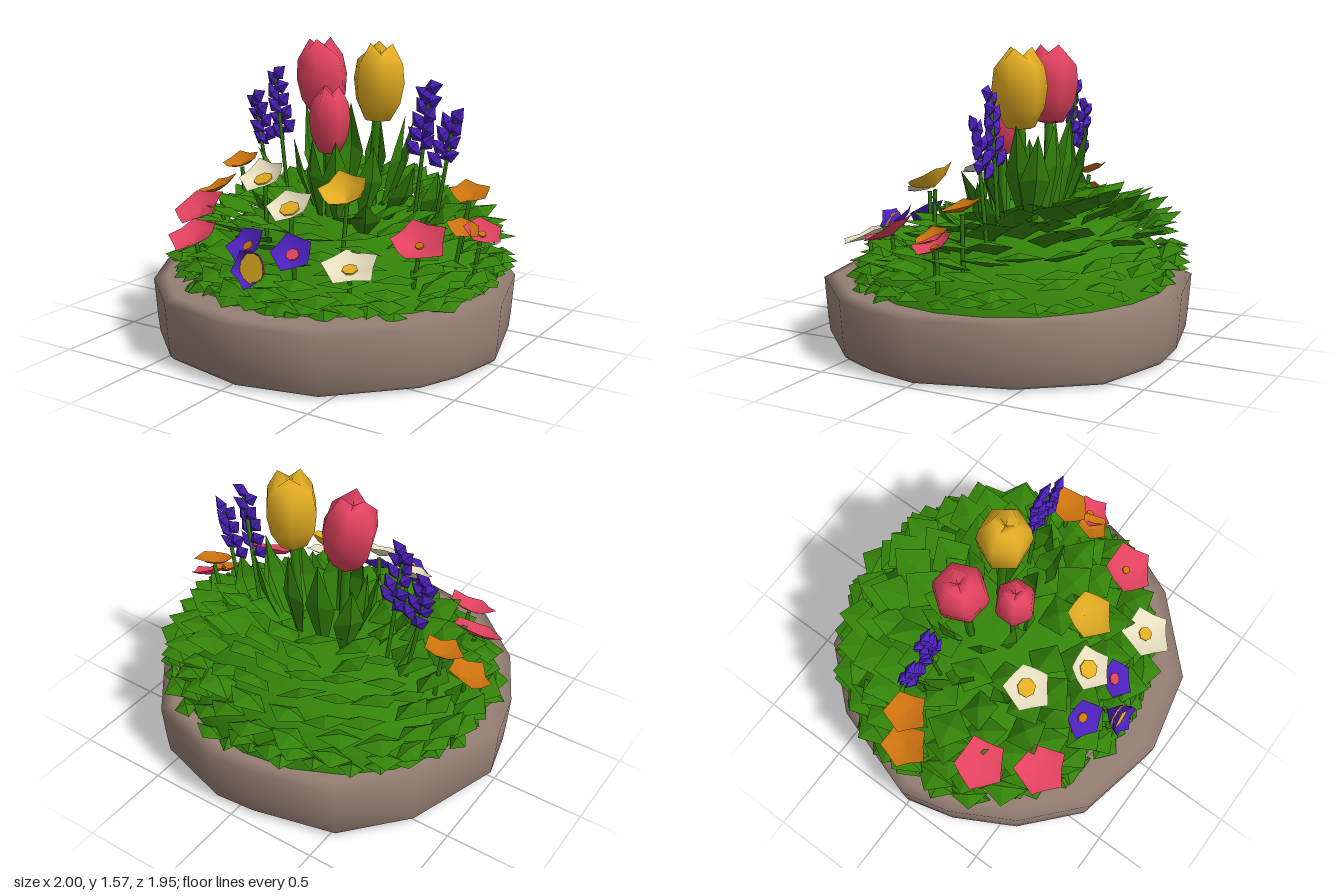
import * as THREE from 'three';
import { mergeGeometries } from 'three/addons/utils/BufferGeometryUtils.js';

let seed = 7;
const rnd = () => ((seed = (seed * 16807) % 2147483647) / 2147483647);
const vary = (v, d) => v + (rnd() - 0.5) * 2 * d;

const make = (name, color) => {
  const m = new THREE.MeshStandardMaterial({ color, side: THREE.DoubleSide });
  m.name = name;
  return m;
};

// skin between closed rings of equal length, listed from the lower/outer one
function loft(rings) {
  const n = rings[0].length, pos = rings.flat(2), idx = [];
  for (let k = 0; k < rings.length - 1; k++) {
    for (let i = 0; i < n; i++) {
      const a = k * n + i, b = k * n + ((i + 1) % n);
      idx.push(a, b, a + n, b, b + n, a + n);
    }
  }
  const g = new THREE.BufferGeometry();
  g.setAttribute('position', new THREE.Float32BufferAttribute(pos, 3));
  g.setIndex(idx);
  g.computeVertexNormals();
  return g;
}

const ring = (n, f) => Array.from({ length: n }, (_, i) => {
  const a = (i / n) * Math.PI * 2, [r, y] = f(i);
  return [Math.sin(a) * r, y, Math.cos(a) * r];
});

// folded diamond leaf: base, two shoulders, ridge and tip
function leaf(L, W, fold, p, yaw, pitch, roll = 0, shoulder = 0.48) {
  const B = [0, 0, 0], M = [0, fold, L * (shoulder + 0.05)], T = [0, -fold * 0.5, L];
  const R = [W / 2, 0, L * shoulder], S = [-W / 2, 0, L * shoulder];
  const g = new THREE.BufferGeometry();
  g.setAttribute('position', new THREE.Float32BufferAttribute(
    [B, M, R, B, S, M, M, T, R, S, T, M].flat(), 3));
  g.computeVertexNormals();
  const o = new THREE.Object3D();
  o.rotation.set(-pitch, yaw, roll, 'YXZ');
  o.position.set(...p);
  o.updateMatrix();
  return g.applyMatrix4(o.matrix);
}

// height of the planted mound
const CZ = -0.08, RX = 0.87, RZ = 0.8;
const height = (x, z) => {
  const s = Math.min(1, Math.hypot(x / RX, (z - CZ) / RZ));
  return 0.33 + (0.34 - 0.2 * z) * Math.pow(1 - s * s, 0.6);
};

export function createModel() {
  seed = 7;
  const group = new THREE.Group();
  const stone = make('stone', 0x957f73);
  const green = make('leaf green', 0x338209);
  const pink = make('pink', 0xe2425f);
  const yellow = make('yellow', 0xe2ac22);
  const purple = make('purple', 0x4c20bc);
  const orange = make('orange', 0xcc720f);
  const cream = make('cream', 0xe8e0c0);

  const add = (name, geo, mat, parent = group) => {
    const m = new THREE.Mesh(geo, mat);
    m.name = name;
    parent.add(m);
    return m;
  };
  const stem = (a, b, r) => {
    const A = new THREE.Vector3(...a), B = new THREE.Vector3(...b);
    const d = B.clone().sub(A);
    const m = add('stem', new THREE.CylinderGeometry(r, r, d.length(), 5), green);
    m.position.copy(A).add(B).multiplyScalar(0.5);
    m.quaternion.setFromUnitVectors(new THREE.Vector3(0, 1, 0), d.normalize());
  };

  // rough round stone planter
  const outline = [[0.03, 0.97], [0.47, 0.87], [0.84, 0.5], [0.94, 0.28], [1, 0], [0.85, -0.5],
    [0.57, -0.85], [0.13, -0.98], [-0.1, -0.96], [-0.55, -0.85], [-0.83, -0.53], [-1, 0],
    [-0.93, 0.27], [-0.75, 0.6], [-0.45, 0.87]];
  const slab = (s, y) => outline.map(([x, z]) => [x * s, y, z * s]);
  add('stoneBase', loft([slab(0, 0), slab(0.95, 0.008)]), stone);
  add('stonePlanter', loft([slab(0.95, 0.008), slab(0.975, 0.03), slab(0.985, 0.12),
    slab(1, 0.325), slab(0.93, 0.34), slab(0.78, 0.34)]), stone);

  // green mound under the leaves
  add('mound', loft([1, 0.95, 0.85, 0.7, 0.5, 0.25, 0].map((s) => ring(20, () => [s, 0]).map(([x, , z]) => {
    const X = x * RX, Z = z * RZ + CZ;
    return [X, height(X, Z), Z];
  }))), green);

  // rings of broad leaves covering the mound: radius, count, pitch, length
  const leaves = [];
  [[0.25, 9, 0.4, 0.26], [0.42, 14, 0.45, 0.27], [0.56, 18, 0.48, 0.27], [0.69, 21, 0.45, 0.25],
    [0.79, 24, 0.35, 0.23], [0.87, 26, 0.22, 0.19], [0.93, 30, 0.1, 0.15], [0.97, 34, 0.15, 0.1]]
    .forEach(([s, n, pitch, len], k) => {
      for (let i = 0; i < n; i++) {
        const a = ((i + (k % 2) / 2) / n) * Math.PI * 2 + vary(0, 0.06), q = vary(s, 0.02);
        const x = Math.sin(a) * q * RX, z = Math.cos(a) * q * RZ + CZ;
        const rise = z > 0 ? -0.45 * z : -0.9 * z * (0.9 - s);
        leaves.push(leaf(vary(len, 0.025), vary(Math.min(0.24, len + 0.05), 0.03), 0.03,
          [x, height(x, z) - 0.005, z], a + vary(0, 0.25), vary(pitch + rise, 0.1), vary(0, 0.25)));
      }
    });
  add('leaves', mergeGeometries(leaves), green);

  // tall pointed blades around the tulips: x, z, yaw, pitch, length
  const blades = [];
  for (const s of [-1, 1]) {
    for (const [x, z, yaw, pitch, L] of [[0.16, -0.2, 1.7, 1.3, 0.64], [0.07, -0.25, 2.9, 1.42, 0.64],
      [0.17, -0.22, 2.3, 1.25, 0.6], [0.13, -0.08, 1, 1.25, 0.5], [0.05, 0.03, 0.4, 1.42, 0.5],
      [0.24, -0.1, 1.2, 0.95, 0.48], [0.24, 0.08, 0.6, 0.8, 0.32], [0.44, -0.17, 1.3, 1.2, 0.38]]) {
      blades.push(leaf(L, 0.16, -0.03, [s * x, 0.57, z], s * yaw, pitch, 0, 0.58));
    }
  }
  add('blades', mergeGeometries(blades), green);

  // tulips: closed six-sided cups with three pointed petals
  for (const [x, y, z, r, h, mat, turn, lean] of [[-0.155, 1.15, -0.17, 0.145, 0.42, pink, 0.4, 0.1],
    [0.17, 1.15, -0.17, 0.145, 0.42, yellow, -0.4, -0.05], [0, 0.99, 0.03, 0.11, 0.36, pink, 0, 0]]) {
    const cup = [[0, 0], [0.52, 0.03], [0.88, 0.26], [1, 0.52], [0.9, 0.76]]
      .map(([a, b]) => ring(6, () => [a * r, b * h]));
    cup.push(ring(6, (i) => (i % 2 ? [0.5 * r, 0.86 * h] : [0.46 * r, h])));
    cup.push(ring(6, () => [0, 0.86 * h]));
    const t = add('tulip', loft(cup).rotateY(turn), mat);
    t.position.set(x, y, z);
    t.rotation.z = lean;
    stem([x * 0.8, 0.55, z], [x, y + 0.03, z], 0.025);
  }

  // flat purple flower spikes, two on each side
  for (const s of [-1, 1]) {
    for (const [x0, y0, x1, y1, n] of [[0.43, 1.03, 0.485, 1.36, 10], [0.555, 0.98, 0.625, 1.22, 8]]) {
      const florets = [];
      for (let i = 0; i < n; i++) {
        const t = i / (n - 1), side = i % 2 ? 1 : -1;
        const g = new THREE.OctahedronGeometry(1);
        g.scale(0.062, 0.042, 0.028).rotateZ(side * 0.7 + vary(0, 0.4));
        g.translate(s * (x0 + (x1 - x0) * t) + side * 0.04 * (1 - t * 0.5),
          y0 + (y1 - y0) * t, vary(-0.17, 0.01));
        florets.push(g);
      }
      add('purpleSpike', mergeGeometries(florets), purple);
      stem([s * (x0 - 0.03), 0.6, -0.17], [s * x1, y1 - 0.03, -0.17], 0.011);
    }
  }

  // open blossoms: position, radius, forward tilt, sideways lean, cup depth, eye
  const blossom = (name, mat, p, R, tilt, lean, depth, eye, eyeSize = 0.27) => {
    const f = new THREE.Group();
    f.name = name;
    const rim = ring(10, (i) => (i % 2 ? [R * 0.8, -depth * 0.15] : [vary(R, R * 0.08), vary(0, 0.014)]));
    add('petals', loft([rim, ring(10, () => [R * 0.6, -depth * 0.55]),
      ring(10, () => [0, -depth])]), mat, f);
    if (eye) {
      const e = add('eye', new THREE.CylinderGeometry(R * eyeSize, R * eyeSize, 0.008, 7), eye, f);
      e.position.y = -depth * (1 - 0.75 * eyeSize) + 0.006;
    }
    f.position.set(...p);
    f.rotation.set(tilt, 0, lean);
    group.add(f);
    const foot = new THREE.Vector3(0, -depth - 0.012, 0).applyEuler(f.rotation).add(f.position);
    stem([p[0] * 0.93, height(p[0], p[2]) - 0.05, p[2] * 0.93], foot.toArray(), 0.012);
  };
  blossom('creamBlossom', cream, [-0.25, 0.9, 0.3], 0.135, 0.45, 0.05, 0.05, yellow, 0.38);
  blossom('creamBlossom', cream, [0.05, 0.82, 0.49], 0.125, 0.5, -0.05, 0.05, yellow, 0.42);
  blossom('creamBlossom', cream, [0.47, 0.6, 0.59], 0.145, 0.35, -0.1, 0.04, yellow);
  blossom('yellowBlossom', yellow, [0.27, 0.9, 0.33], 0.14, 0.5, 0, 0.08, null);
  blossom('pinkBlossom', pink, [-0.68, 0.68, 0.31], 0.15, 0.5, 0.1, 0.05, null);
  blossom('pinkBlossom', pink, [0.69, 0.69, 0.31], 0.15, 0.5, -0.1, 0.05, orange, 0.15);
  blossom('pinkBlossom', pink, [-0.5, 0.61, 0.57], 0.145, 0.4, 0.1, 0.04, null);
  blossom('pinkBlossom', pink, [0.86, 0.68, -0.06], 0.11, 0.3, -0.4, 0.04, orange, 0.2);
  blossom('orangeBlossom', orange, [-0.72, 0.85, -0.14], 0.115, 0.25, 0.1, 0.04, null);
  blossom('orangeBlossom', orange, [-0.84, 0.7, -0.07], 0.125, 0.25, 0.4, 0.04, null);
  blossom('orangeBlossom', orange, [0.74, 0.85, -0.14], 0.115, 0.25, -0.1, 0.04, null);
  blossom('orangeBlossom', orange, [0.78, 0.7, 0], 0.095, 0.25, -0.3, 0.04, null);
  blossom('purpleBlossom', purple, [0, 0.555, 0.78], 0.105, 1.35, 0, 0.13, yellow, 0.75);
  blossom('purpleBlossom', purple, [-0.14, 0.62, 0.6], 0.115, 0.7, 0.2, 0.04, orange, 0.25);
  blossom('purpleBlossom', purple, [0.15, 0.62, 0.61], 0.115, 0.7, -0.2, 0.04, pink, 0.3);
  return group;
}
